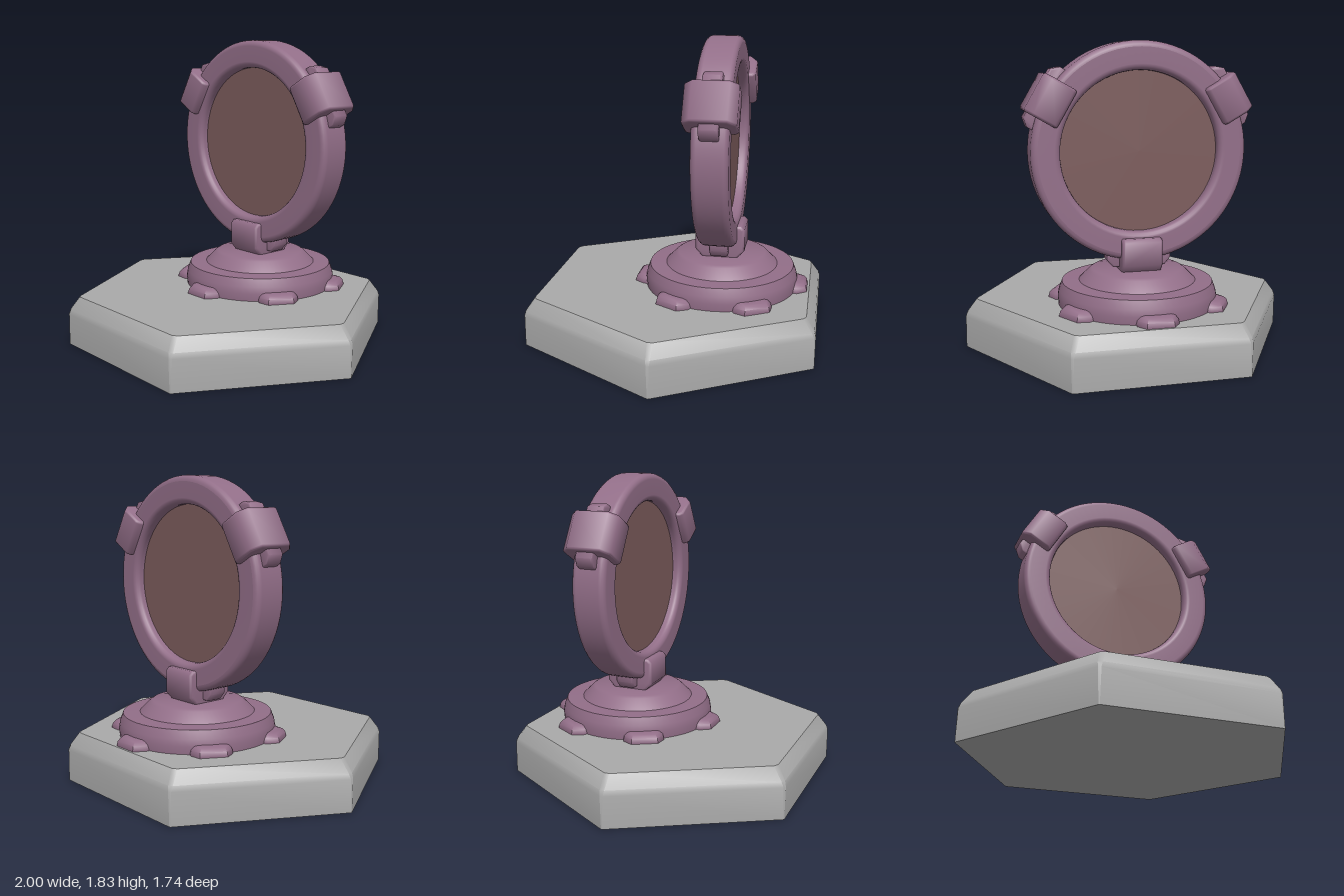
import * as THREE from 'three';
import { toCreasedNormals } from 'three/addons/utils/BufferGeometryUtils.js';

const grey = new THREE.MeshStandardMaterial({ color: 0xaaaaaa });
const mauve = new THREE.MeshStandardMaterial({ color: 0x926e88 });
const brown = new THREE.MeshStandardMaterial({ color: 0x7c5c5c });

const BASE_TOP = 0.295, AXIS_Z = -0.262, RING_Y = 1.198;

function part(name, geometry, material, parent) {
  const mesh = new THREE.Mesh(geometry, material);
  mesh.name = name;
  parent.add(mesh);
  return mesh;
}

function lathe(points, segments) {
  return new THREE.LatheGeometry(points.map(([r, y]) => new THREE.Vector2(r, y)), segments);
}

// Outline extruded to a total depth centred on z = 0, with rounded bevels;
// the outline grows by the bevel size
function bevelled(points, depth, size, thickness = size) {
  const shape = new THREE.Shape(points.map(([x, y]) => new THREE.Vector2(x, y)));
  const core = depth - 2 * thickness;
  const geo = new THREE.ExtrudeGeometry(shape, {
    depth: core, bevelEnabled: true, bevelSize: size, bevelThickness: thickness, bevelSegments: 3,
  });
  return geo.translate(0, 0, -core / 2);
}

// Hexagon whose corners are cut a little more towards the top; rows: radius, height, corner cut
function plinthGeometry() {
  const rows = [[0, 0, 0], [1, 0, 0.004], [1.002, 0.19, 0.01], [0.992, 0.22, 0.015],
    [0.935, BASE_TOP, 0.02], [0, BASE_TOP, 0]];
  const geo = lathe(rows, 12);
  const p = geo.attributes.position;
  const angle = (k) => k * Math.PI / 3 + Math.PI / 2;
  for (let i = 0; i < p.count; i++) {
    const [r, , cut] = rows[i % rows.length];
    const j = Math.floor(i / rows.length), k = Math.floor(j / 2);
    const a = angle(k), b = angle(j % 2 ? k + 1 : k - 1);
    p.setX(i, r * THREE.MathUtils.lerp(Math.sin(a), Math.sin(b), cut));
    p.setZ(i, r * THREE.MathUtils.lerp(Math.cos(a), Math.cos(b), cut));
  }
  return toCreasedNormals(geo, 0.45);
}

// Closed rectangular ring section with rounded corners
function ringSection(r0, r1, half, round) {
  const pts = [];
  const corners = [[r1, -half, -1], [r1, half, 0], [r0, half, 1], [r0, -half, 2]];
  for (const [r, y, q] of corners) {
    const cx = r + (r === r1 ? -round : round), cy = y + (y > 0 ? -round : round);
    for (let i = 0; i <= 4; i++) {
      const a = (q + i / 4) * Math.PI / 2;
      pts.push([cx + round * Math.cos(a), cy + round * Math.sin(a)]);
    }
  }
  pts.push(pts[0]);
  return pts;
}

// Clamp block: section with chamfered outer edges, extruded along the ring's tangent
function clampGeometry() {
  const b = 0.016, inner = 0.498 + b, outer = 0.705 - b, half = 0.15 - b;
  const geo = bevelled([
    [inner, -half + 0.012], [inner + 0.012, -half], [outer - 0.042, -half], [outer, -half + 0.038],
    [outer, half - 0.038], [outer - 0.042, half], [inner + 0.012, half], [inner, half - 0.012],
  ], 0.24, b);
  return toCreasedNormals(geo.rotateX(-Math.PI / 2), 0.9);
}

// Locking bar: flat strip along the tangent with cut outer corners
function barGeometry() {
  const b = 0.012, r0 = 0.59 + b, r1 = 0.678 - b, end = 0.192 - b;
  return toCreasedNormals(bevelled([
    [r0, -end], [r1 - 0.035, -end], [r1, -end + 0.03],
    [r1, end - 0.03], [r1 - 0.035, end], [r0, end],
  ], 0.11, b), 0.9);
}

// Foot stud: low pad narrowing outwards and upwards
function studGeometry() {
  const geo = bevelled([[-0.075, -0.38], [-0.075, -0.462], [-0.055, -0.49],
    [0.055, -0.49], [0.075, -0.462], [0.075, -0.38]], 0.11, 0.045, 0.05);
  return toCreasedNormals(geo.rotateX(-Math.PI / 2), 0.9);
}

export function createModel() {
  const model = new THREE.Group();
  model.name = 'portalOnPlinth';

  // Hexagonal plinth with bevelled top edge
  part('plinth', plinthGeometry(), grey, model);

  // Stepped round foot
  const foot = new THREE.Group();
  foot.name = 'foot';
  foot.position.set(0, BASE_TOP, AXIS_Z);
  model.add(foot);
  const profile = [[0, 0], [0.468, 0], [0.472, 0.045], [0.465, 0.085], [0.446, 0.134],
    [0.345, 0.138], [0.286, 0.197], [0.268, 0.208], [0, 0.208]];
  part('steppedFoot', toCreasedNormals(lathe(profile, 64), 0.6), mauve, foot);

  // Six studs round the foot
  const studGeo = studGeometry();
  for (let i = 0; i < 6; i++) part('footStud', studGeo, mauve, foot).rotation.y = i * Math.PI / 3;

  // Upright ring and the panel recessed inside it
  const ring = new THREE.Group();
  ring.name = 'ringAssembly';
  ring.position.set(0, RING_Y, AXIS_Z);
  model.add(ring);
  part('ring', lathe(ringSection(0.465, 0.632, 0.105, 0.036), 80), mauve, ring).rotation.x = Math.PI / 2;
  part('panel', new THREE.CylinderGeometry(0.478, 0.478, 0.09, 64), brown, ring).rotation.x = Math.PI / 2;

  // Three clamps, each with a locking bar sticking out at both ends
  const clampGeo = clampGeometry();
  const barGeo = barGeometry();
  for (const degrees of [30, 150, 270]) {
    const clamp = new THREE.Group();
    clamp.name = 'clamp';
    clamp.rotation.z = THREE.MathUtils.degToRad(degrees);
    part('clampBlock', clampGeo, mauve, clamp);
    part('lockingBar', barGeo, mauve, clamp);
    ring.add(clamp);
  }
  return model;
}
